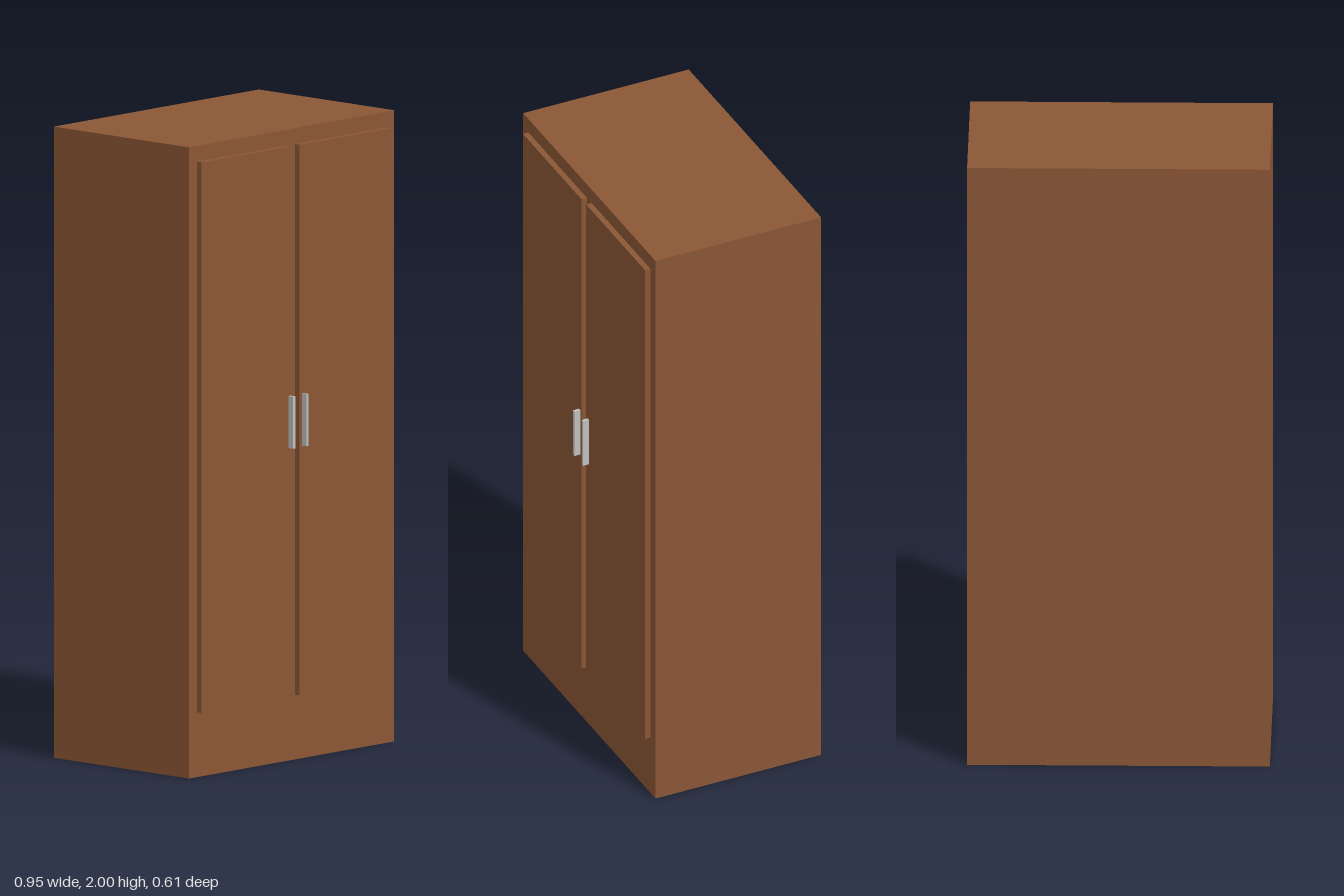
import * as THREE from 'three';

const wood = new THREE.MeshStandardMaterial({ name: 'brownWood', color: 0x8b5735 });
const metal = new THREE.MeshStandardMaterial({ name: 'silverMetal', color: 0xc0c0c0 });

// Box given by its extents along each axis
function box(name, [x0, x1], [y0, y1], [z0, z1], material) {
  const mesh = new THREE.Mesh(new THREE.BoxGeometry(x1 - x0, y1 - y0, z1 - z0), material);
  mesh.position.set((x0 + x1) / 2, (y0 + y1) / 2, (z0 + z1) / 2);
  mesh.name = name;
  return mesh;
}

export function createModel() {
  const wardrobe = new THREE.Group();
  wardrobe.name = 'wardrobe';

  // Cabinet carcass
  wardrobe.add(box('cabinet', [-0.473, 0.473], [0, 2], [-0.307, 0.268], wood));

  // Mirrored pair of doors, each with a slim upright handle near the centre
  for (const [side, s] of [['left', 1], ['right', -1]]) {
    const span = (a, b) => (s > 0 ? [a, b] : [-b, -a]);
    wardrobe.add(box(side + 'Door', span(0.016, 0.436), [0.205, 1.95], [0.268, 0.287], wood));
    wardrobe.add(box(side + 'Handle', span(0.026, 0.036), [0.995, 1.16], [0.287, 0.307], metal));
  }
  return wardrobe;
}
